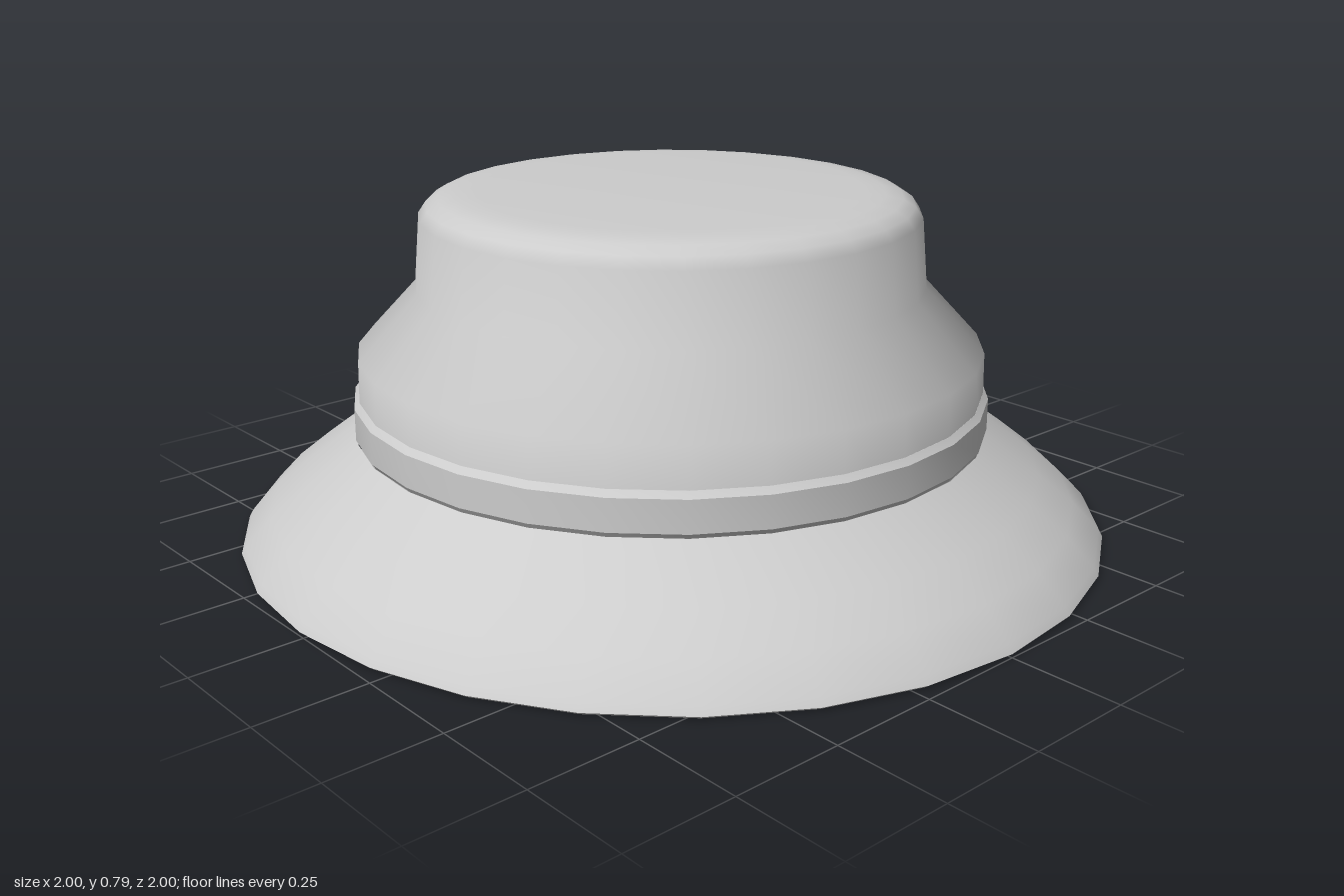
import * as THREE from 'three';
import { toCreasedNormals } from 'three/addons/utils/BufferGeometryUtils.js';

const SIDES = 28;
const OFFSET = -0.014; // the crown sits slightly to one side of the brim

// Revolve an [radius, height] profile; the offset fades out toward the brim's two side tips
function revolve(name, profile, material, crease) {
  const points = profile.map(([r, y]) => new THREE.Vector2(r, y));
  const geometry = new THREE.LatheGeometry(points, SIDES);
  const pos = geometry.attributes.position;
  for (let i = 0; i < pos.count; i++) {
    const x = pos.getX(i);
    const r = Math.hypot(x, pos.getZ(i));
    const t = THREE.MathUtils.clamp((r - 0.74) / 0.26, 0, 1);
    const c = r > 0 ? x / r : 0;
    pos.setX(i, x + OFFSET * (1 - t * c * c));
  }
  const mesh = new THREE.Mesh(toCreasedNormals(geometry, crease), material);
  mesh.name = name;
  return mesh;
}

export function createModel() {
  const hat = new THREE.Group();
  hat.name = 'bucketHat';
  const felt = new THREE.MeshStandardMaterial({ color: 0xcccccc });
  felt.name = 'light grey felt';

  // Crown: hollow inside, bottom rim, stepped outer wall, rounded flat top
  hat.add(revolve('crown', [
    [0, 0.75], [0.46, 0.75], [0.51, 0.735], [0.535, 0.69], [0.555, 0.56], [0.6, 0.41], [0.614, 0.215],
    [0.722, 0.215], [0.718, 0.43], [0.583, 0.575], [0.569, 0.735],
    [0.552, 0.76], [0.525, 0.776], [0.485, 0.784], [0.44, 0.787], [0, 0.787],
  ], felt, 0.85));

  // Band around the foot of the crown, with small bevels
  hat.add(revolve('band', [
    [0.712, 0.238], [0.724, 0.238], [0.732, 0.25], [0.732, 0.323], [0.72, 0.337], [0.712, 0.337],
  ], felt, 0.5));

  // Sloping brim, a thin closed shell
  hat.add(revolve('brim', [
    [0.735, 0.2], [0.85, 0.127], [0.93, 0.062], [0.99, 0], [1, 0.008], [0.99, 0.025],
    [0.93, 0.087], [0.85, 0.15], [0.728, 0.24], [0.735, 0.2],
  ], felt, 0.7));

  return hat;
}
